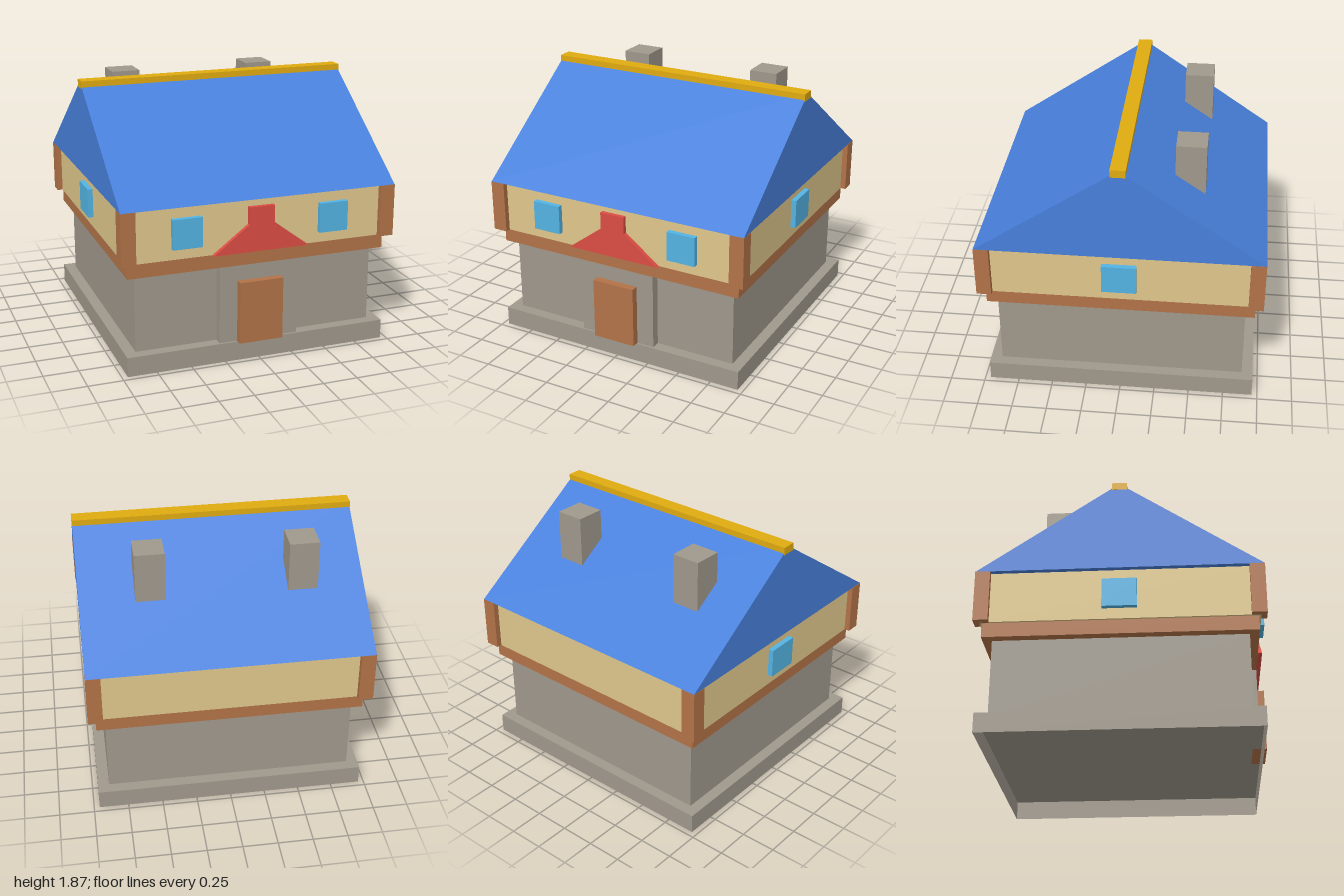
import * as THREE from 'three';

const mat = (name, color, side = THREE.FrontSide) => {
  const m = new THREE.MeshStandardMaterial({ color, side });
  m.name = name;
  return m;
};

export function createModel() {
  const house = new THREE.Group();
  house.name = 'house';

  const stone = mat('stone', 0xa0988c, THREE.DoubleSide);
  const plaster = mat('plaster', 0xe0c88c);
  const timber = mat('timber', 0xb27348);
  const roofBlue = mat('roofBlue', 0x4880dc);
  const gold = mat('gold', 0xe0ab11);
  const glass = mat('glass', 0x54b4e4);
  const red = mat('red', 0xdc4e44);

  const add = (name, geometry, material) => {
    const mesh = new THREE.Mesh(geometry, material);
    mesh.name = name;
    house.add(mesh);
    return mesh;
  };
  // Box given by its extents on each axis
  const box = (name, material, [x0, x1], [y0, y1], [z0, z1]) => {
    const mesh = add(name, new THREE.BoxGeometry(x1 - x0, y1 - y0, z1 - z0), material);
    mesh.position.set((x0 + x1) / 2, (y0 + y1) / 2, (z0 + z1) / 2);
    return mesh;
  };
  const sym = (r) => [-r, r];
  // Closed outline through [x, y] points
  const outline = (pts) => new THREE.Shape(pts.map(([x, y]) => new THREE.Vector2(x, y)));

  // Plinth, open underneath: drop the bottom face (fourth group of the box)
  const plinth = box('plinth', stone, sym(0.96), [0, 0.14], sym(0.96));
  const index = Array.from(plinth.geometry.index.array);
  index.splice(18, 6);
  plinth.geometry.setIndex(index);
  plinth.geometry.clearGroups();

  // Ground floor with entrance block and door
  box('lowerWalls', stone, sym(0.88), [0.14, 0.7], sym(0.88));
  box('entranceBlock', stone, sym(0.29), [0.14, 0.7], [0.8, 0.945]);
  box('door', timber, sym(0.16), [0.14, 0.59], [0.9, 1]);

  // Floor beam and upper storey
  box('floorBeam', timber, sym(0.945), [0.7, 0.805], sym(0.945));
  box('upperWalls', plaster, sym(0.96), [0.805, 1.18], sym(0.96));

  // Corner posts
  for (const sx of [-1, 1]) {
    for (const sz of [-1, 1]) {
      const post = box('cornerPost', timber, sym(0.0525), [0.805, 1.18], sym(0.0525));
      post.position.x = sx * 0.9475;
      post.position.z = sz * 0.9475;
    }
  }

  // Windows: two in front, one in each side
  for (const s of [-1, 1]) {
    const front = box('frontWindow', glass, sym(0.105), [0.885, 1.097], [0.94, 0.997]);
    front.position.x = s * 0.535;
    const side = box('sideWindow', glass, sym(0.03), [0.885, 1.097], sym(0.121));
    side.position.x = s * 0.967;
  }

  // Flared red panel over the entrance
  const panel = outline([
    [-0.35, 0.805], [0.35, 0.805], [0.092, 1.0],
    [0.092, 1.124], [-0.092, 1.124], [-0.092, 1.0],
  ]);
  add('entrancePanel', new THREE.ExtrudeGeometry(panel, { depth: 0.05, bevelEnabled: false }), red)
    .position.z = 0.94;

  // Gable roof, extruded along x
  const gable = outline([[-1, 1.18], [1, 1.18], [0, 1.863]]);
  const roofGeometry = new THREE.ExtrudeGeometry(gable, { depth: 1.996, bevelEnabled: false });
  roofGeometry.translate(0, 0, -0.998).rotateY(Math.PI / 2);
  add('roof', roofGeometry, roofBlue);
  box('ridgeBeam', gold, sym(1), [1.815, 1.87], sym(0.053));

  // Chimneys on the back slope
  for (const x of [-0.562, 0.505]) {
    box('chimney', stone, [x - 0.105, x + 0.105], [1.3, 1.845], [-0.56, -0.35]);
  }

  return house;
}
